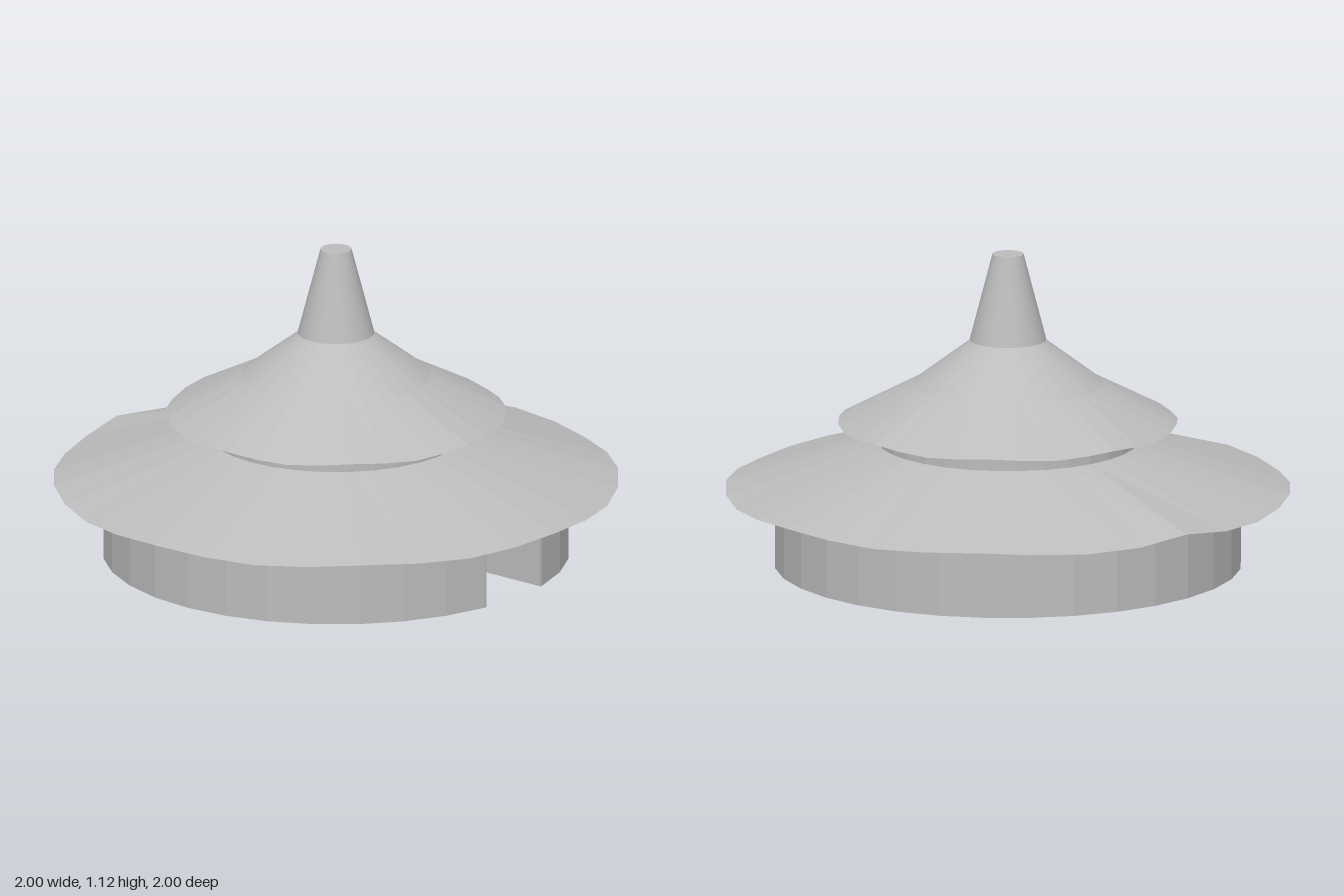
import * as THREE from 'three';

const SIDES = 32;
const stone = new THREE.MeshStandardMaterial({ color: 0xbcbcbc });
stone.name = 'grey stone';

// Separate the faces so each one gets its own normal
function faceted(geometry) {
  const g = geometry.index ? geometry.toNonIndexed() : geometry;
  g.computeVertexNormals();
  return g;
}

// Faceted ring from a [radius, y] profile, listed from the underside up.
// The rim (radius >= rim) ripples gently, eight waves around.
function roof(profile, rim, ripple, backLift = 0) {
  const g = new THREE.LatheGeometry(profile.map(([r, y]) => new THREE.Vector2(r, y)), SIDES);
  const p = g.attributes.position;
  for (let i = 0; i < p.count; i++) {
    const x = p.getX(i), z = p.getZ(i);
    if (Math.hypot(x, z) < rim - 0.001) continue;
    const lift = Math.abs(x) < 0.01 && z < 0 ? backLift : 0;
    p.setY(i, p.getY(i) + ripple * Math.cos(8 * Math.atan2(x, z)) + lift);
  }
  return faceted(g);
}

// Flat slab standing on y, from an outline drawn in x and -z
function slab(points, y, height) {
  const g = new THREE.ExtrudeGeometry(new THREE.Shape(points), { depth: height, bevelEnabled: false });
  g.rotateX(-Math.PI / 2).translate(0, y, 0);
  return g;
}

export function createModel() {
  const model = new THREE.Group();
  model.name = 'roundPavilion';
  const add = (name, geometry) => {
    const mesh = new THREE.Mesh(geometry, stone);
    mesh.name = name;
    model.add(mesh);
  };

  // Round wall with a doorway passage running from the front to the centre
  const R = 0.825, door = 0.15, doorTop = 0.24, wallTop = 0.29;
  const ring = [];
  for (let i = 0; i < SIDES; i++) {
    const a = (i / SIDES) * Math.PI * 2;
    ring.push(new THREE.Vector2(R * Math.sin(a), -R * Math.cos(a)));
  }
  const jamb = THREE.MathUtils.lerp(ring[0].y, ring[1].y, door / ring[1].x);
  const notched = [
    new THREE.Vector2(door, 0), new THREE.Vector2(door, jamb),
    ...ring.slice(1),
    new THREE.Vector2(-door, jamb), new THREE.Vector2(-door, 0),
  ];
  add('wall', slab(notched, 0, doorTop));
  add('wallTop', slab(ring, doorTop, wallTop - doorTop));

  // Wide lower roof with a thin rippled eave
  add('lowerRoof', roof([[0, 0.285], [0.82, 0.285], [1, 0.27], [0.46, 0.445]], 1, 0.006, 0.016));

  // Drum between the roofs
  add('drum', faceted(new THREE.CylinderGeometry(0.46, 0.46, 0.12, SIDES, 1, true).translate(0, 0.48, 0)));

  // Upper roof, steeper towards the spire
  add('upperRoof', roof([[0, 0.525], [0.46, 0.525], [0.6, 0.515], [0.335, 0.655], [0.125, 0.815], [0, 0.815]], 0.6, 0.005));

  // Tapered spire
  add('spire', new THREE.CylinderGeometry(0.055, 0.135, 0.31, SIDES).translate(0, 0.968, 0));

  return model;
}
